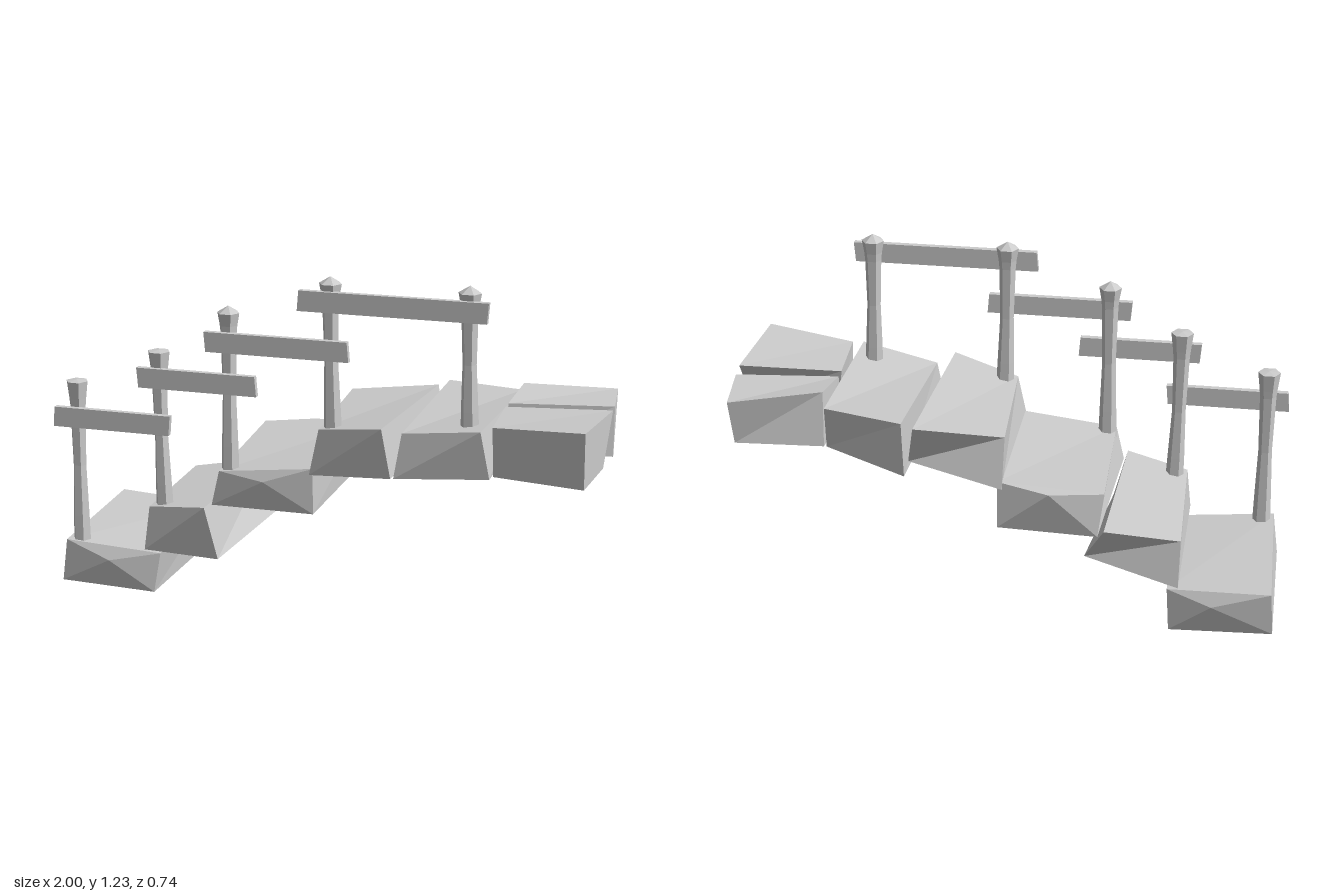
import * as THREE from 'three';

const stone = new THREE.MeshStandardMaterial({ color: 0xcccccc, flatShading: true, side: THREE.DoubleSide });
const wood = new THREE.MeshStandardMaterial({ color: 0xcccccc, flatShading: true });

// Rough stone block, open underneath. Corners run front left, front right,
// back right, back left as seen from the front; bulges are optional end centres.
function block(name, top, bottom, frontBulge, backBulge) {
  const pos = [];
  const tri = (a, b, c) => pos.push(...a, ...b, ...c);
  const quad = (a, b, c, d, centre) => {
    if (centre) {
      [a, b, c, d].forEach((p, i, ring) => tri(p, ring[(i + 1) % 4], centre));
    } else {
      tri(a, b, c);
      tri(a, c, d);
    }
  };
  quad(...top);
  for (let i = 0; i < 4; i++) {
    const j = (i + 1) % 4;
    quad(bottom[i], bottom[j], top[j], top[i], [frontBulge, null, backBulge, null][i]);
  }
  const geo = new THREE.BufferGeometry();
  geo.setAttribute('position', new THREE.Float32BufferAttribute(pos, 3));
  geo.computeVertexNormals();
  const mesh = new THREE.Mesh(geo, stone);
  mesh.name = name;
  return mesh;
}

// Six-sided post with a narrow waist and a flared head; tip is the cap height
function post(name, x, base, top, tip, lean = 0) {
  const h = top - base;
  const profile = [[0, 0], [0.034, 0], [0.031, h * 0.2], [0.025, h * 0.5], [0.03, h - 0.1],
    [0.033, h - 0.07], [0.041, h - tip], [0, h]];
  const geo = new THREE.LatheGeometry(profile.map(p => new THREE.Vector2(...p)), 6, Math.PI / 2);
  const p = geo.attributes.position;
  for (let i = 0; i < p.count; i++) {
    p.setX(i, p.getX(i) + lean * (1 - p.getY(i) / h) ** 2);
  }
  const flat = geo.toNonIndexed();
  flat.computeVertexNormals();
  const mesh = new THREE.Mesh(flat, wood);
  mesh.name = name;
  mesh.position.set(x, base, 0.23);
  return mesh;
}

// Thin rail board with slightly skewed ends
function rail(name, x0, x1, y0, y1, skew) {
  const geo = new THREE.BoxGeometry(x1 - x0, y1 - y0, 0.022);
  const p = geo.attributes.position;
  for (let i = 0; i < p.count; i++) {
    p.setX(i, p.getX(i) + Math.sign(p.getY(i)) * skew);
  }
  geo.computeVertexNormals();
  const mesh = new THREE.Mesh(geo, wood);
  mesh.name = name;
  mesh.position.set((x0 + x1) / 2, (y0 + y1) / 2, 0.265);
  return mesh;
}

export function createModel() {
  const model = new THREE.Group();
  model.name = 'stoneSteps';

  // Steps, lowest first
  model.add(
    block('step1',
      [[-0.97, 0.18, 0.27], [-0.61, 0.155, 0.25], [-0.62, 0.165, -0.32], [-0.99, 0.18, -0.335]],
      [[-0.99, 0.02, 0.27], [-0.63, 0.01, 0.27], [-0.63, 0, -0.32], [-1, 0.02, -0.33]],
      [-0.8, 0.12, 0.285], [-0.78, 0.12, -0.35]),
    block('step2',
      [[-0.64, 0.34, 0.27], [-0.41, 0.375, 0.325], [-0.39, 0.37, -0.31], [-0.66, 0.33, -0.265]],
      [[-0.655, 0.18, 0.29], [-0.36, 0.185, 0.325], [-0.31, 0.205, -0.2], [-0.66, 0.18, -0.335]]),
    block('step3',
      [[-0.37, 0.5, 0.27], [-0.02, 0.54, 0.27], [-0.01, 0.54, -0.31], [-0.39, 0.52, -0.31]],
      [[-0.4, 0.37, 0.27], [-0.015, 0.375, 0.28], [-0.015, 0.375, -0.34], [-0.37, 0.36, -0.33]],
      [-0.2, 0.48, 0.29], [-0.2, 0.53, -0.365]),
    block('step4',
      [[0, 0.685, 0.26], [0.25, 0.73, 0.34], [0.29, 0.72, -0.305], [-0.03, 0.69, -0.26]],
      [[-0.03, 0.52, 0.28], [0.285, 0.555, 0.345], [0.32, 0.56, -0.24], [-0.03, 0.52, -0.33]]),
    block('step5',
      [[0.31, 0.705, 0.29], [0.6, 0.75, 0.34], [0.62, 0.745, -0.24], [0.33, 0.74, -0.31]],
      [[0.29, 0.55, 0.325], [0.635, 0.585, 0.345], [0.62, 0.585, -0.22], [0.32, 0.54, -0.32]]),
    block('landingFront',
      [[0.635, 0.76, 0.31], [0.965, 0.785, 0.37], [0.995, 0.77, 0.016], [0.62, 0.76, 0.045]],
      [[0.64, 0.585, 0.31], [0.965, 0.585, 0.365], [0.985, 0.59, 0.12], [0.63, 0.59, 0.04]]),
    block('landingBack',
      [[0.62, 0.76, 0], [0.99, 0.765, -0.05], [0.96, 0.765, -0.285], [0.635, 0.785, -0.19]],
      [[0.62, 0.585, 0.015], [1, 0.6, 0.01], [0.95, 0.59, -0.25], [0.63, 0.585, -0.22]])
  );

  // Railing posts: x, base, top, cap height, lean
  [[-0.925, 0.14, 0.785, 0.005], [-0.605, 0.29, 0.92, 0.005, 0.012], [-0.34, 0.46, 1.1, 0.025],
    [0.035, 0.64, 1.23, 0.025, 0.01], [0.53, 0.68, 1.23, 0.025, 0.008]]
    .forEach((p, i) => model.add(post('post' + (i + 1), ...p)));

  // Rail boards: x range, y range, end skew
  [[-1, -0.555, 0.615, 0.688, 0.003], [-0.672, -0.228, 0.787, 0.86, -0.003],
    [-0.415, 0.11, 0.938, 1.01, -0.003], [-0.07, 0.603, 1.11, 1.183, 0.003]]
    .forEach((r, i) => model.add(rail('rail' + (i + 1), ...r)));

  return model;
}
